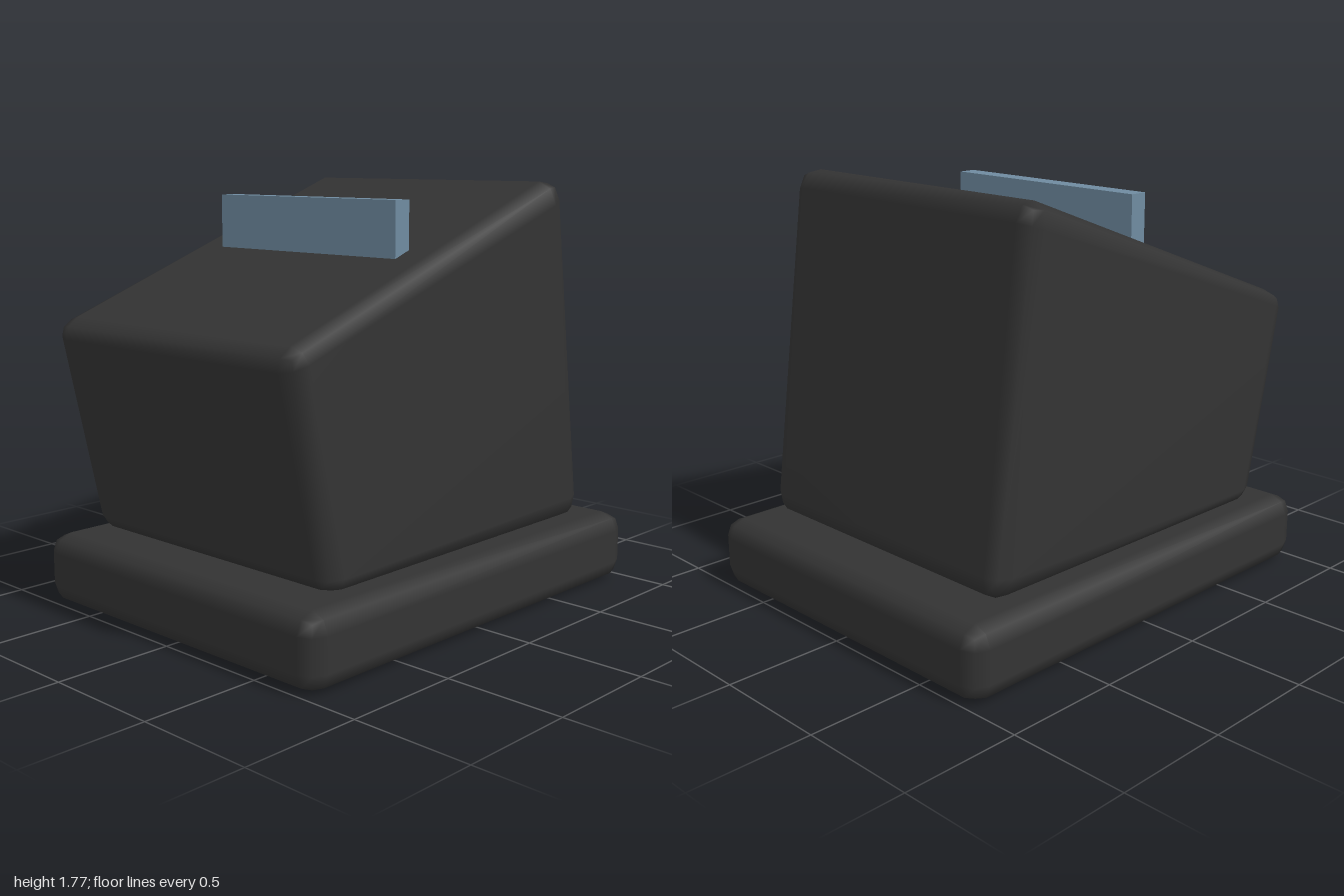
import * as THREE from 'three';
import { RoundedBoxGeometry } from 'three/addons/geometries/RoundedBoxGeometry.js';
import { mergeVertices } from 'three/addons/utils/BufferGeometryUtils.js';

const dark = new THREE.MeshStandardMaterial({ color: 0x333333 });
const blue = new THREE.MeshStandardMaterial({ color: 0x6f8ba0 });

function addPart(group, name, geometry, material, y = 0, z = 0) {
  const mesh = new THREE.Mesh(geometry, material);
  mesh.name = name;
  mesh.position.set(0, y, z);
  group.add(mesh);
}

// Bevelled box whose side outline is bent onto four [z, y] corners
function taperedBody(width, height, depth, corners) {
  const rounded = new RoundedBoxGeometry(width, height, depth, 1, 0.08);
  rounded.clearGroups();
  rounded.deleteAttribute('uv');
  rounded.deleteAttribute('normal');
  const geometry = mergeVertices(rounded);
  const pos = geometry.attributes.position;
  const { lerp } = THREE.MathUtils;
  const { backBottom, frontBottom, backTop, frontTop } = corners;
  for (let i = 0; i < pos.count; i++) {
    const v = pos.getY(i) / height + 0.5;
    const w = pos.getZ(i) / depth + 0.5;
    const [z, y] = [0, 1].map((k) => lerp(
      lerp(backBottom[k], frontBottom[k], w),
      lerp(backTop[k], frontTop[k], w), v));
    pos.setY(i, y);
    pos.setZ(i, z);
  }
  geometry.computeVertexNormals();
  return geometry;
}

export function createModel() {
  const group = new THREE.Group();

  // Flat plinth
  addPart(group, 'base', new RoundedBoxGeometry(1.6, 0.3, 2, 1, 0.08), dark, 0.15);

  // Wedge housing with a top sloping down to the front
  addPart(group, 'housing', taperedBody(1.4, 1.2, 1.6, {
    backBottom: [-0.8, 0.3],
    frontBottom: [0.8, 0.3],
    backTop: [-0.6, 1.8],
    frontTop: [1.0, 1.2],
  }), dark);

  // Upright plate set into the sloping top
  addPart(group, 'plate', new THREE.BoxGeometry(1, 0.3, 0.08), blue, 1.56, 0.2);

  return group;
}
